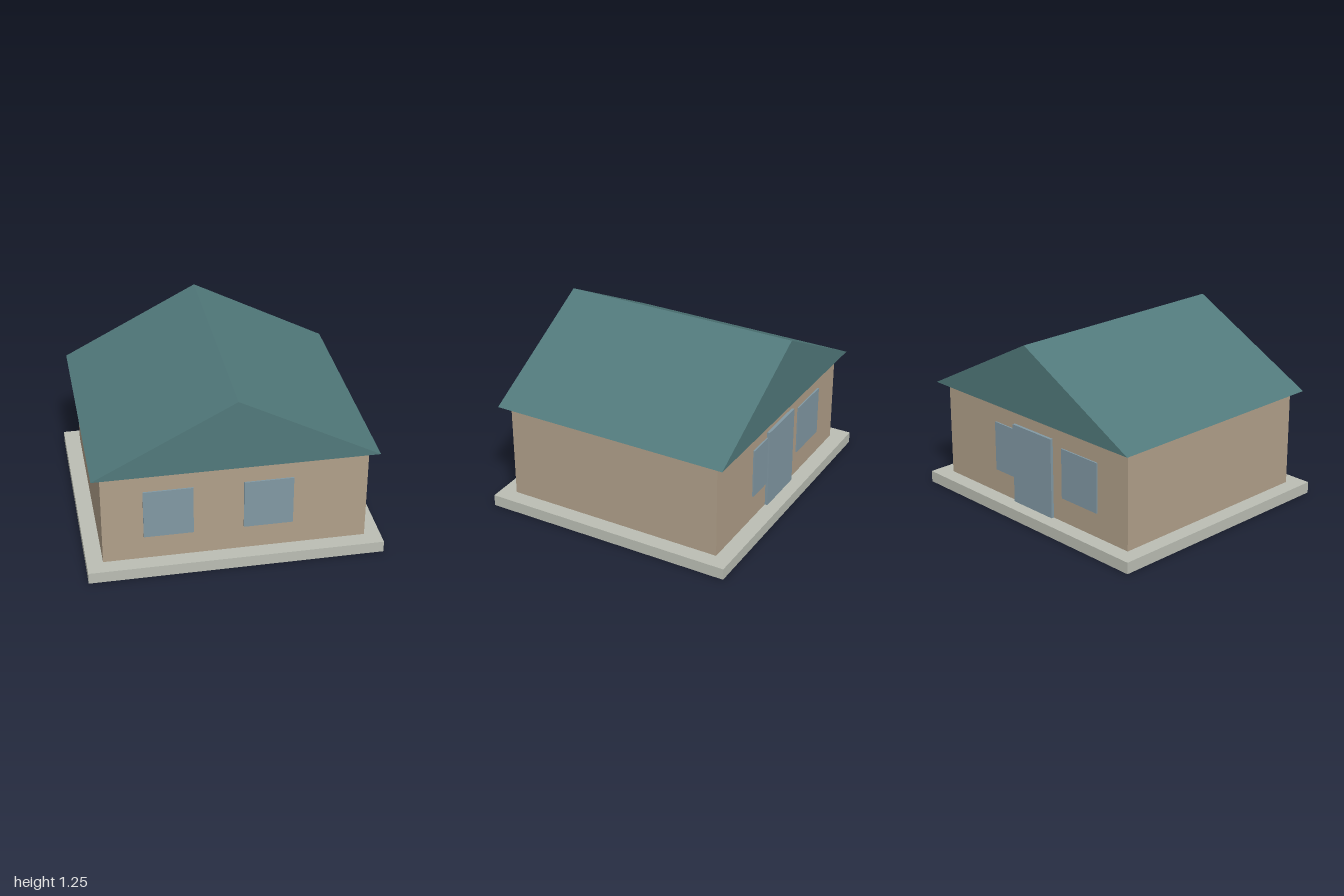
import * as THREE from 'three';

const paint = (color) => new THREE.MeshStandardMaterial({ color, flatShading: true });

// Box given by its lower and upper corners
function box(name, [x0, y0, z0], [x1, y1, z1], material) {
  const mesh = new THREE.Mesh(new THREE.BoxGeometry(x1 - x0, y1 - y0, z1 - z0), material);
  mesh.position.set((x0 + x1) / 2, (y0 + y1) / 2, (z0 + z1) / 2);
  mesh.name = name;
  return mesh;
}

export function createModel() {
  const house = new THREE.Group();
  house.name = 'house';
  const stone = paint(0xbbbeb4);
  const plaster = paint(0xb1a08a);
  const tile = paint(0x51797b);
  const glass = paint(0x8299a4);

  // Foundation slab and walls
  house.add(box('foundation', [-1, 0, -0.89], [1, 0.08, 0.89], stone));
  house.add(box('walls', [-0.89, 0.08, -0.78], [0.89, 0.745, 0.78], plaster));

  // Gable roof: a solid triangular prism just above the walls
  const gable = new THREE.Shape();
  gable.moveTo(-0.95, 0.76);
  gable.lineTo(0.95, 0.76);
  gable.lineTo(0, 1.255);
  gable.closePath();
  const roofGeometry = new THREE.ExtrudeGeometry(gable, { depth: 1.69, bevelEnabled: false });
  roofGeometry.translate(0, 0, -0.845);
  const roof = new THREE.Mesh(roofGeometry, tile);
  roof.name = 'roof';
  house.add(roof);

  // Two windows in the front wall and two in the back wall
  for (const [side, z0, z1] of [['front', 0.77, 0.79], ['back', -0.79, -0.77]]) {
    for (const x of [-0.615, 0.055]) {
      house.add(box(side + 'Window', [x, 0.253, z0], [x + 0.333, 0.605, z1], glass));
    }
  }

  // Door in the middle of the back wall
  house.add(box('door', [-0.19, 0.08, -0.8], [0.19, 0.645, -0.77], glass));

  return house;
}
